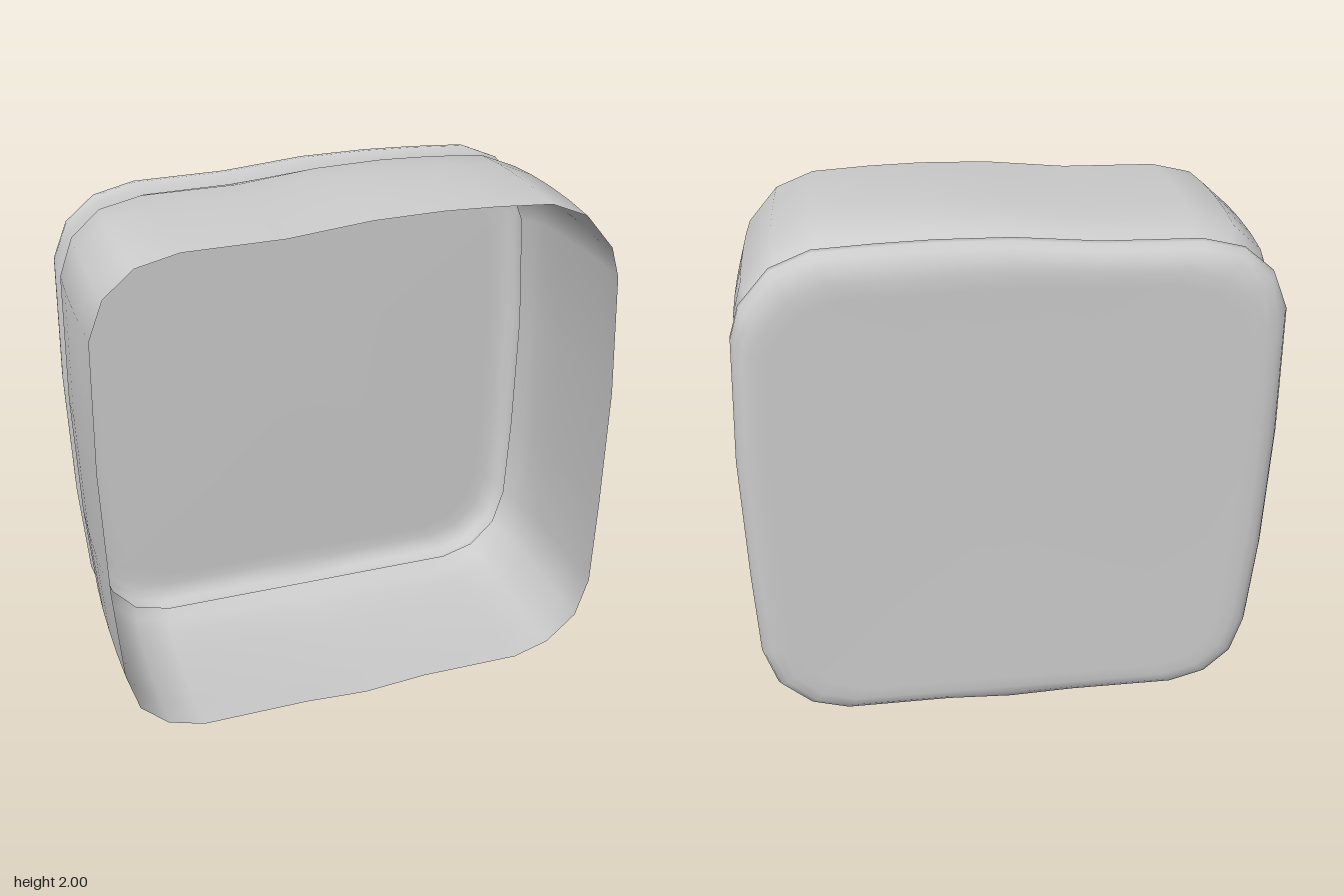
import * as THREE from 'three';

// Outline points [bulged x, y, pinched x, y], clockwise from the top centre
const OUTLINE = [
  [0, 1.99, 0, 1.925], [0.25, 2, 0.25, 1.92], [0.45, 1.995, 0.44, 1.915],
  [0.66, 1.98, 0.64, 1.91], [0.8, 1.925, 0.78, 1.85], [0.915, 1.79, 0.88, 1.74],
  [0.95, 1.67, 0.92, 1.64], [0.98, 1.19, 0.945, 1.19], [0.98, 0.7, 0.94, 0.7],
  [0.975, 0.34, 0.925, 0.35], [0.925, 0.175, 0.88, 0.2], [0.8, 0.065, 0.78, 0.1],
  [0.655, 0.02, 0.645, 0.06], [0.25, 0.025, 0.25, 0.06], [0, 0.0, 0, 0.06],
  [-0.25, 0.02, -0.25, 0.06], [-0.665, 0.02, -0.635, 0.06], [-0.8, 0.065, -0.78, 0.1],
  [-0.905, 0.16, -0.87, 0.2], [-0.95, 0.32, -0.91, 0.34], [-0.975, 0.7, -0.935, 0.7],
  [-0.985, 1.19, -0.94, 1.19], [-0.97, 1.68, -0.925, 1.655], [-0.92, 1.82, -0.86, 1.78],
  [-0.815, 1.915, -0.75, 1.86], [-0.66, 1.95, -0.61, 1.9], [-0.3, 1.955, -0.3, 1.91],
];

// Skin through rings [z, bulge, scale], ordered front to back
function loft(name, rings, closed) {
  const n = OUTLINE.length, pos = [], index = [];
  for (const [z, bulge, scale = 1] of rings) {
    for (const [bx, by, px, py] of OUTLINE) {
      const x = px + (bx - px) * bulge, y = py + (by - py) * bulge;
      pos.push(x * scale, 1 + (y - 1) * scale, z);
    }
  }
  for (let r = 0; r < rings.length - 1; r++) {
    for (let i = 0; i < n; i++) {
      const j = (i + 1) % n, a = r * n + i, b = r * n + j;
      index.push(a, b, a + n, b, b + n, a + n);
    }
  }
  if (closed) {
    const last = (rings.length - 1) * n;
    pos.push(0, 1, rings[rings.length - 1][0]);
    for (let i = 0; i < n; i++) index.push(last + i, last + (i + 1) % n, last + n);
  }
  const geometry = new THREE.BufferGeometry();
  geometry.setAttribute('position', new THREE.Float32BufferAttribute(pos, 3));
  geometry.setIndex(index);
  geometry.computeVertexNormals();
  const mesh = new THREE.Mesh(geometry, new THREE.MeshStandardMaterial({ color: 0xcccccc, side: THREE.DoubleSide }));
  mesh.name = name;
  return mesh;
}

export function createModel() {
  const group = new THREE.Group();
  group.name = 'openShell';
  // Open-fronted wall, tapering to a pinched neck at the back
  group.add(loft('wall', [
    [0.43, 0.75], [0.28, 0.92], [0.13, 1], [-0.02, 1], [-0.17, 0.9], [-0.24, 0.5], [-0.31, 0],
  ], false));
  // Back panel with its rounded bead, creased where it meets the neck
  group.add(loft('backPanel', [
    [-0.31, 0], [-0.325, 0.4, 1.005], [-0.345, 0.6, 1.012], [-0.37, 0.6, 1.01],
    [-0.4, 0.5, 1.0], [-0.42, 0.2, 0.985], [-0.43, 0, 0.955], [-0.43, 0, 0.9], [-0.425, 0, 0.5],
  ], true));
  return group;
}
